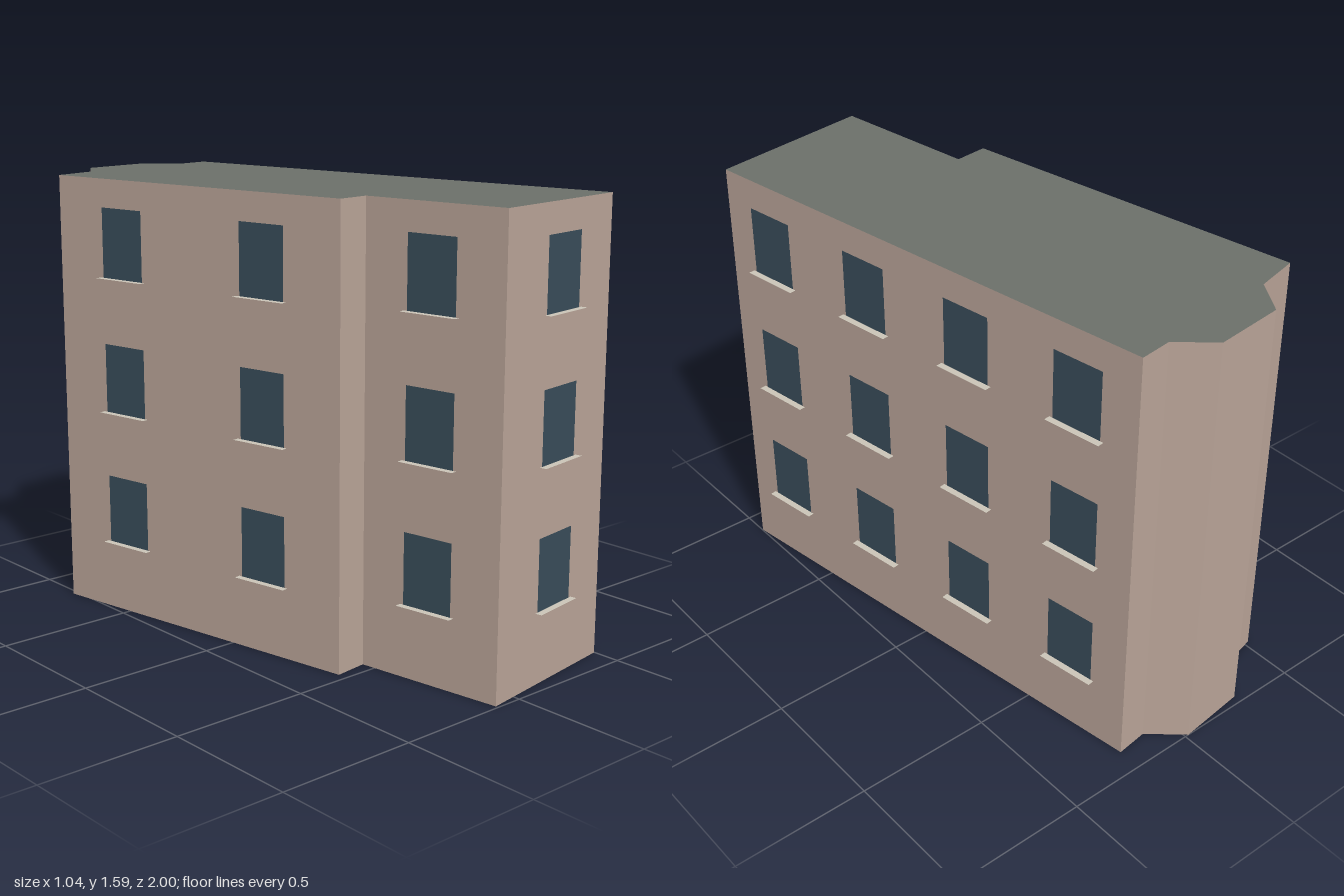
import * as THREE from 'three';

const HEIGHT = 1.59;
const GAP = 0.012; // panes sit just proud of the wall

// Footprint corners (x, z), from the back left round by the back bay
const FOOTPRINT = [
  [-0.52, -0.80], [-0.356, -0.84], [-0.272, -0.97], [-0.014, -1.0], [0.104, -0.897],
  [0.222, -0.912], [0.498, 0.90], [-0.10, 0.99], [-0.177, 0.45], [-0.30, 0.465],
];

// Wall = index of its first corner; at = window centres as fractions along it
const WINDOW_WALLS = [
  { wall: 5, at: [0.125, 0.376, 0.627, 0.876] },
  { wall: 6, at: [0.495] },
  { wall: 7, at: [0.5] },
  { wall: 9, at: [0.25, 0.75] },
];
const FLOORS = [0.26, 0.75, 1.24]; // bottom of each row of windows
const PANE = { width: 0.19, height: 0.25 };
const SILL = { width: 0.215, depth: 0.024 };

const mat = (color, side = THREE.FrontSide) => new THREE.MeshStandardMaterial({ color, side });

export function createModel() {
  const model = new THREE.Group();
  model.name = 'building';

  // Body: extruded footprint, grey roof and underside, plaster walls
  const outline = new THREE.Shape(FOOTPRINT.map(([x, z]) => new THREE.Vector2(x, -z)));
  const bodyGeometry = new THREE.ExtrudeGeometry(outline, { depth: HEIGHT, bevelEnabled: false });
  bodyGeometry.rotateX(-Math.PI / 2);
  const body = new THREE.Mesh(bodyGeometry, [mat(0x6b6f69), mat(0xb8a397)]);
  body.name = 'wallsAndRoof';
  model.add(body);

  // Window: flat pane with a thin sill standing out at its foot
  const paneGeometry = new THREE.PlaneGeometry(PANE.width, PANE.height);
  paneGeometry.translate(0, PANE.height / 2, GAP);
  const sillGeometry = new THREE.PlaneGeometry(SILL.width, SILL.depth);
  sillGeometry.rotateX(-Math.PI / 2).translate(0, 0, GAP + SILL.depth / 2);
  const glass = mat(0x384c59);
  const stone = mat(0xc9c3b6, THREE.DoubleSide);

  function addWindow(x, y, z, angle) {
    const unit = new THREE.Group();
    unit.name = 'window';
    const pane = new THREE.Mesh(paneGeometry, glass);
    pane.name = 'windowPane';
    const sill = new THREE.Mesh(sillGeometry, stone);
    sill.name = 'windowSill';
    unit.add(pane, sill);
    unit.position.set(x, y, z);
    unit.rotation.y = angle;
    model.add(unit);
  }

  for (const { wall, at } of WINDOW_WALLS) {
    const [x0, z0] = FOOTPRINT[wall];
    const [x1, z1] = FOOTPRINT[(wall + 1) % FOOTPRINT.length];
    const angle = Math.atan2(z1 - z0, x0 - x1); // outward facing
    for (const t of at) {
      for (const y of FLOORS) addWindow(x0 + (x1 - x0) * t, y, z0 + (z1 - z0) * t, angle);
    }
  }

  return model;
}
